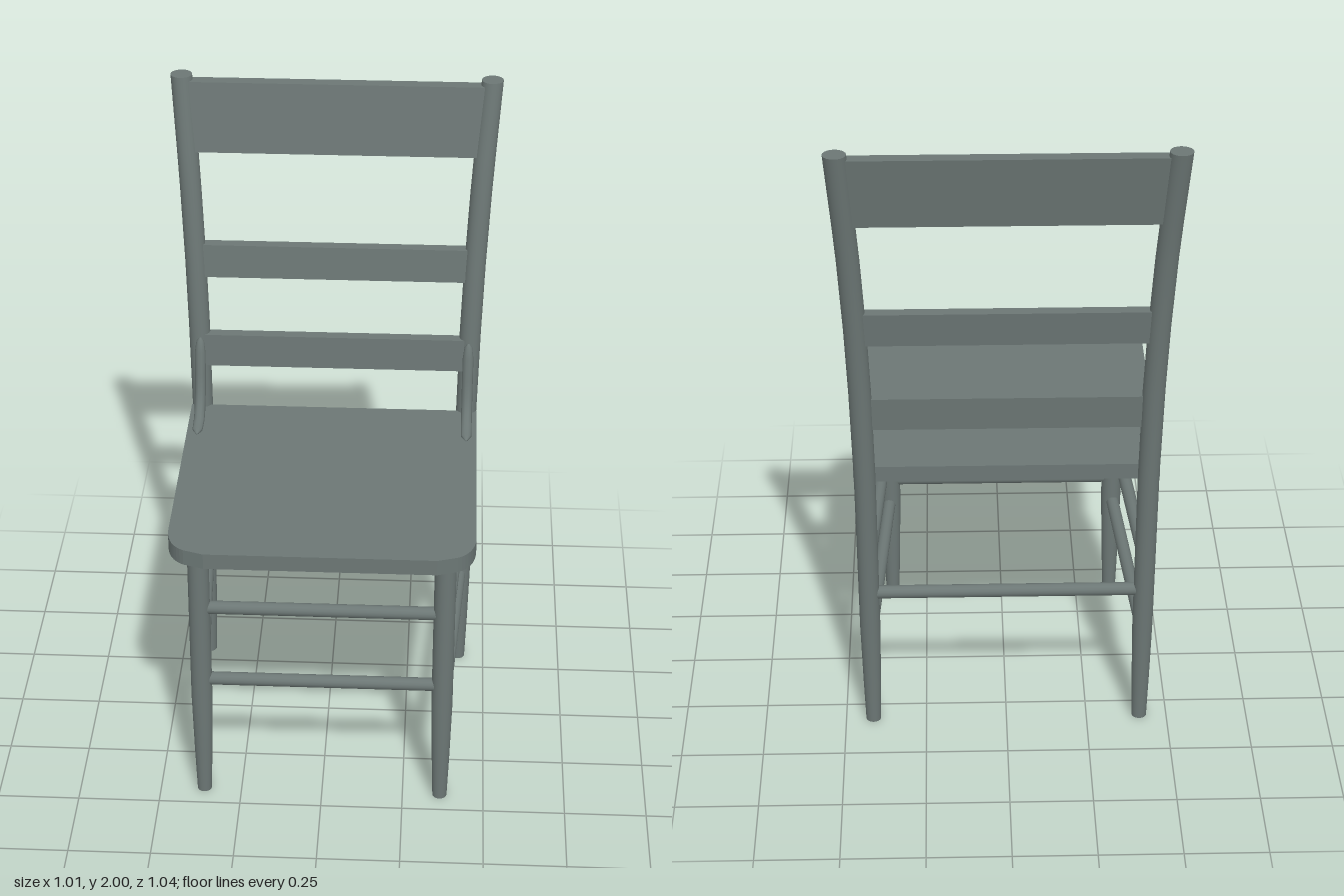
import * as THREE from 'three';

const paint = new THREE.MeshStandardMaterial({ color: 0x6c7775 });
paint.name = 'grey green paint';

// Smooth skin over rings of points (counter-clockwise seen from the path's end), with flat caps
function loft(rings) {
  const n = rings[0].length, last = rings.length - 1;
  const pos = [], idx = [];
  rings.forEach(r => r.forEach(p => pos.push(p.x, p.y, p.z)));
  for (let i = 0; i < last; i++) {
    for (let j = 0; j < n; j++) {
      const a = i * n + j, b = i * n + (j + 1) % n;
      idx.push(a, b, b + n, a, b + n, a + n);
    }
  }
  [0, last].forEach(k => {
    const base = pos.length / 3;
    rings[k].forEach(p => pos.push(p.x, p.y, p.z));
    for (let j = 1; j < n - 1; j++) {
      if (k === 0) idx.push(base, base + j + 1, base + j);
      else idx.push(base, base + j, base + j + 1);
    }
  });
  const g = new THREE.BufferGeometry();
  g.setAttribute('position', new THREE.Float32BufferAttribute(pos, 3));
  g.setIndex(idx);
  g.computeVertexNormals();
  return g;
}

// Upright post with level rings; stations are [x, y, z, radius]
function post(stations, sides = 20) {
  return loft(stations.map(([x, y, z, r]) => Array.from({ length: sides }, (_, j) => {
    const t = -j / sides * Math.PI * 2;
    return new THREE.Vector3(x + Math.cos(t) * r, y, z + Math.sin(t) * r);
  })));
}

// Curved brace in the y-z plane; stations are [z, y, half thickness, half width]
function brace(x, stations, sides = 10) {
  const curve = new THREE.CatmullRomCurve3(stations.map(([z, y]) => new THREE.Vector3(x, y, z)));
  const across = new THREE.Vector3(1, 0, 0);
  return loft(stations.map(([z, y, h, w], i) => {
    const t = curve.getTangent(i / (stations.length - 1));
    const up = new THREE.Vector3().crossVectors(t, across);
    return Array.from({ length: sides }, (_, j) => {
      const a = j / sides * Math.PI * 2;
      return new THREE.Vector3(x, y, z)
        .addScaledVector(across, Math.cos(a) * w)
        .addScaledVector(up, Math.sin(a) * h);
    });
  }));
}

// Round rung between two points
function rung(a, b, r = 0.02) {
  const A = new THREE.Vector3(...a), B = new THREE.Vector3(...b);
  const g = new THREE.CylinderGeometry(r, r, A.distanceTo(B), 14);
  const q = new THREE.Quaternion().setFromUnitVectors(
    new THREE.Vector3(0, 1, 0), B.clone().sub(A).normalize());
  g.applyQuaternion(q);
  const m = A.add(B).multiplyScalar(0.5);
  return g.translate(m.x, m.y, m.z);
}

// Back slat leaning from zLow to zHigh
function slat(halfWidth, yLow, yHigh, zLow, zHigh, depth) {
  const g = new THREE.BoxGeometry(halfWidth * 2, yHigh - yLow, depth);
  const p = g.attributes.position;
  for (let i = 0; i < p.count; i++) {
    p.setZ(i, p.getZ(i) + (p.getY(i) > 0 ? zHigh : zLow));
  }
  g.translate(0, (yLow + yHigh) / 2, 0);
  g.computeVertexNormals();
  return g;
}

export function createModel() {
  const group = new THREE.Group();
  group.name = 'chair';
  const add = (name, geometry) => {
    const m = new THREE.Mesh(geometry, paint);
    m.name = name;
    group.add(m);
  };

  // Seat board with rounded front corners
  const s = new THREE.Shape();
  s.moveTo(-0.453, 0.345);
  s.lineTo(-0.453, -0.4);
  s.quadraticCurveTo(-0.448, -0.475, -0.4, -0.5);
  s.lineTo(-0.34, -0.52);
  s.lineTo(0.34, -0.52);
  s.lineTo(0.4, -0.5);
  s.quadraticCurveTo(0.448, -0.475, 0.453, -0.4);
  s.lineTo(0.453, 0.345);
  const seat = new THREE.ExtrudeGeometry(s, { depth: 0.05, bevelEnabled: false, curveSegments: 8 });
  seat.rotateX(-Math.PI / 2).translate(0, 0.88, 0);
  add('seat', seat);

  for (const [side, k] of [['left', 1], ['right', -1]]) {
    // Tapered front leg
    add(side + 'FrontLeg', post([
      [k * 0.365, 0, 0.425, 0.022], [k * 0.365, 0.15, 0.425, 0.027],
      [k * 0.365, 0.35, 0.425, 0.032], [k * 0.365, 0.89, 0.425, 0.032]]));
    // Back leg running up into the splayed back post
    add(side + 'BackPost', post([
      [k * 0.415, 0, -0.32, 0.023], [k * 0.416, 0.15, -0.321, 0.027],
      [k * 0.417, 0.35, -0.325, 0.031], [k * 0.419, 0.9, -0.357, 0.032],
      [k * 0.425, 1.2, -0.377, 0.033], [k * 0.433, 1.42, -0.398, 0.033],
      [k * 0.445, 1.65, -0.426, 0.033], [k * 0.453, 1.77, -0.446, 0.033],
      [k * 0.47, 2, -0.487, 0.033]]));
    // Curved brace joining seat and post
    add(side + 'Brace', brace(k * 0.42, [
      [-0.155, 0.932, 0.002, 0.002], [-0.178, 0.934, 0.01, 0.016],
      [-0.235, 0.936, 0.013, 0.017], [-0.268, 0.955, 0.018, 0.017],
      [-0.297, 1.0, 0.018, 0.017], [-0.315, 1.06, 0.017, 0.017],
      [-0.325, 1.13, 0.015, 0.017], [-0.335, 1.165, 0.012, 0.012],
      [-0.34, 1.175, 0.003, 0.003]]));
    // Side rungs
    for (const y of [0.335, 0.595]) {
      add(side + 'SideRung', rung([k * 0.368, y, 0.425], [k * 0.415, y, -0.33]));
    }
  }

  // Front and back rungs
  for (const y of [0.42, 0.68]) add('frontRung', rung([-0.365, y, 0.425], [0.365, y, 0.425]));
  add('backRung', rung([-0.415, 0.48, -0.332], [0.415, 0.48, -0.332]));

  // Back slats
  add('topSlat', slat(0.452, 1.77, 1.985, -0.445, -0.48, 0.04));
  add('middleSlat', slat(0.425, 1.37, 1.475, -0.393, -0.404, 0.036));
  add('lowerSlat', slat(0.415, 1.075, 1.18, -0.359, -0.366, 0.036));

  return group;
}
